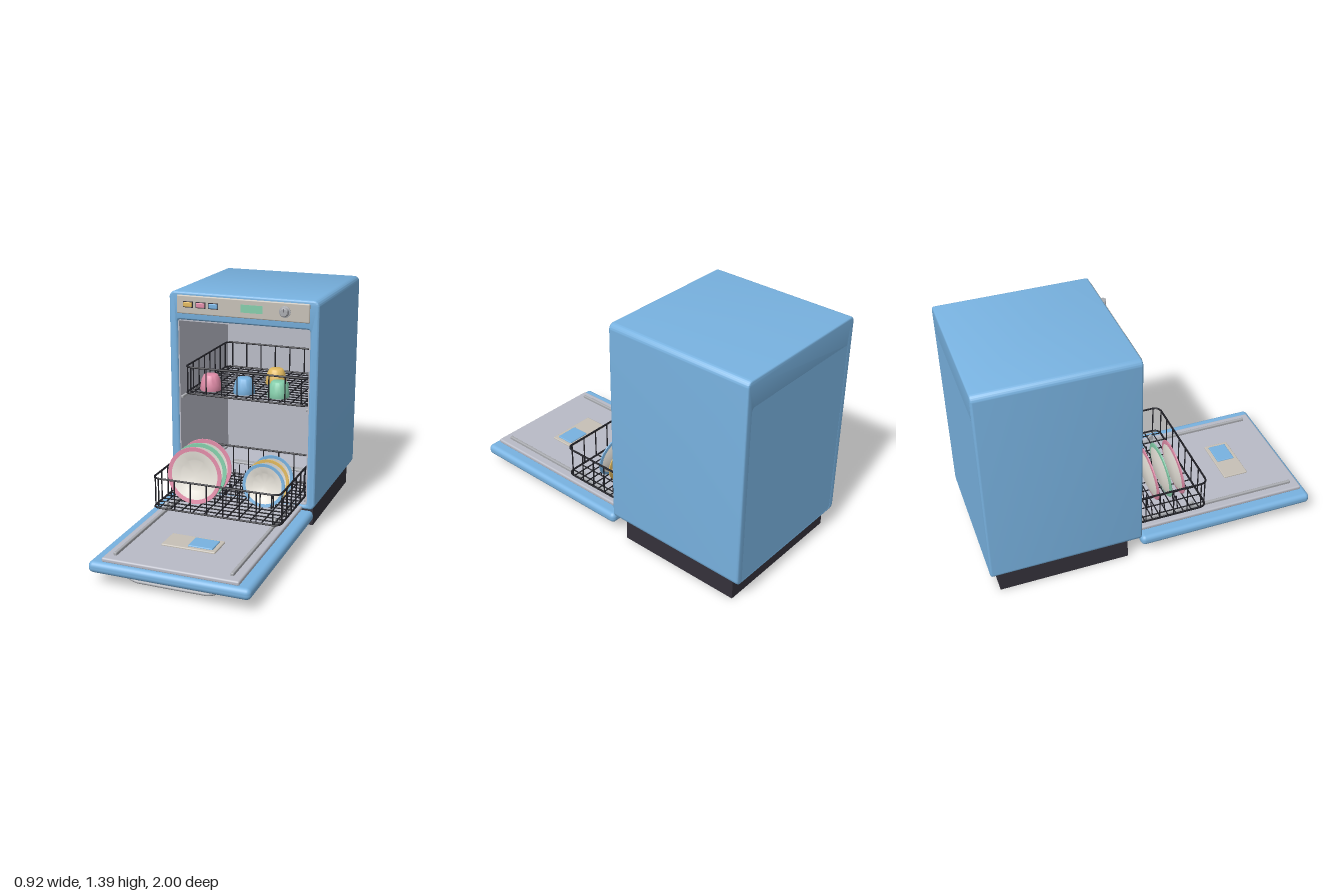
import * as THREE from 'three';
import { mergeGeometries, toCreasedNormals } from 'three/addons/utils/BufferGeometryUtils.js';
import { RoundedBoxGeometry } from 'three/addons/geometries/RoundedBoxGeometry.js';

const mat = (name, color) => {
  const m = new THREE.MeshStandardMaterial({ color });
  m.name = name;
  return m;
};
const V = (x, y, z) => new THREE.Vector3(x, y, z);

export function createModel() {
  const blue = mat('enamel blue', 0x78b2e0);
  const grey = mat('tub grey', 0xb9bbc6);
  const dark = mat('plinth charcoal', 0x34313a);
  const panel = mat('panel beige', 0xc6c0b6);
  const steel = mat('steel', 0xa9abb0);
  const black = mat('wire black', 0x1f1f25);
  const cream = mat('china cream', 0xe9e5dc);
  const pink = mat('pink', 0xe08ca8);
  const green = mat('green', 0x84cdaa);
  const yellow = mat('yellow', 0xe2ba60);

  const model = new THREE.Group();
  model.name = 'dishwasher';

  const add = (name, geo, material, x = 0, y = 0, z = 0, parent = model) => {
    const m = new THREE.Mesh(geo, material);
    m.name = name;
    m.position.set(x, y, z);
    parent.add(m);
    return m;
  };
  // Box given by its minimum and maximum corners
  const box = (name, material, x0, x1, y0, y1, z0, z1, r = 0) => {
    const s = [x1 - x0, y1 - y0, z1 - z0];
    const g = r ? new RoundedBoxGeometry(...s, 3, r) : new THREE.BoxGeometry(...s);
    return add(name, g, material, (x0 + x1) / 2, (y0 + y1) / 2, (z0 + z1) / 2);
  };
  const roundRect = (P, x0, x1, y0, y1, r) => {
    const p = new P();
    p.moveTo(x0 + r, y0);
    p.lineTo(x1 - r, y0); p.absarc(x1 - r, y0 + r, r, -Math.PI / 2, 0);
    p.lineTo(x1, y1 - r); p.absarc(x1 - r, y1 - r, r, 0, Math.PI / 2);
    p.lineTo(x0 + r, y1); p.absarc(x0 + r, y1 - r, r, Math.PI / 2, Math.PI);
    p.lineTo(x0, y0 + r); p.absarc(x0 + r, y0 + r, r, Math.PI, Math.PI * 1.5);
    return p;
  };
  const rod = (a, b, r) => {
    const d = b.clone().sub(a);
    const g = new THREE.CylinderGeometry(r, r, d.length(), 6);
    g.applyQuaternion(new THREE.Quaternion().setFromUnitVectors(V(0, 1, 0), d.normalize()));
    const c = a.clone().add(b).multiplyScalar(0.5);
    return g.translate(c.x, c.y, c.z);
  };
  const lathe = (pts, n = 36) => toCreasedNormals(
    new THREE.LatheGeometry(pts.map(p => new THREE.Vector2(...p)), n), 0.6);

  // Cabinet: hollow rounded shell, closed at the back
  const bev = 0.012;
  const shell = roundRect(THREE.Shape, -0.46, 0.46, 0.13, 1.39, 0.035);
  shell.holes.push(roundRect(THREE.Path, -0.41, 0.41, 0.155, 1.222, 0.015));
  const shellGeo = new THREE.ExtrudeGeometry(shell, {
    depth: 0.9 - 2 * bev, bevelThickness: bev, bevelSize: bev, bevelOffset: -bev,
    bevelSegments: 4, curveSegments: 8,
  });
  add('cabinet', toCreasedNormals(shellGeo, 0.6), blue, 0, 0, -1 + bev);
  box('cabinetBack', blue, -0.422, 0.422, 0.143, 1.234, -0.9995, -0.97);
  box('plinth', dark, -0.43, 0.43, 0, 0.135, -0.95, -0.18);

  // Tub lining
  box('tubBack', grey, -0.41, 0.41, 0.15, 1.222, -0.91, -0.9);
  box('tubFloor', grey, -0.41, 0.41, 0.15, 0.16, -0.9, -0.112);
  box('tubCeiling', grey, -0.41, 0.41, 1.214, 1.224, -0.9, -0.112);
  for (const s of [-1, 1]) {
    box('tubWall', grey, s * 0.408 - 0.005, s * 0.408 + 0.005, 0.155, 1.222, -0.9, -0.112);
    for (const y of [0.18, 0.74])
      box('wallRail', steel, s * 0.396 - 0.008, s * 0.396 + 0.008, y - 0.008, y + 0.008, -0.88, -0.12, 0.004);
  }

  // Spray arm
  add('sprayHub', new THREE.CylinderGeometry(0.035, 0.05, 0.04, 24), dark, 0, 0.175, -0.6);
  box('sprayArm', steel, -0.25, 0.25, 0.175, 0.19, -0.625, -0.575, 0.007);

  // Control panel
  box('controlPanel', panel, -0.408, 0.408, 1.262, 1.372, -0.105, -0.09, 0.007);
  [yellow, pink, blue].forEach((m, i) => {
    const x = -0.335 + 0.08 * i;
    box('buttonSurround', dark, x - 0.031, x + 0.031, 1.301, 1.337, -0.092, -0.088);
    box('button', m, x - 0.027, x + 0.027, 1.305, 1.333, -0.092, -0.079, 0.005);
  });
  box('display', green, -0.005, 0.128, 1.296, 1.342, -0.092, -0.087);
  const knob = add('knob', lathe([[0, 0], [0.034, 0], [0.034, 0.008], [0.027, 0.01],
    [0.025, 0.03], [0.021, 0.034], [0, 0.034]], 24), steel, 0.263, 1.319, -0.092);
  knob.rotation.x = Math.PI / 2;
  box('knobMark', dark, 0.261, 0.265, 1.322, 1.342, -0.059, -0.056);

  // Open door with its lining, rails, dispenser and handle
  box('door', blue, -0.46, 0.46, 0.07, 0.135, -0.1, 1, 0.028);
  box('doorLining', grey, -0.39, 0.39, 0.13, 0.157, -0.09, 0.97, 0.01);
  for (const s of [-1, 1])
    box('doorRail', steel, s * 0.333 - 0.009, s * 0.333 + 0.009, 0.153, 0.174, -0.07, 0.92, 0.005);
  box('dispenser', panel, -0.16, 0.155, 0.152, 0.166, 0.56, 0.715, 0.006);
  box('dispenserLid', blue, -0.013, 0.132, 0.16, 0.173, 0.58, 0.692, 0.006);
  const grip = new THREE.CatmullRomCurve3([V(-0.255, 0.08, 0.93), V(-0.25, 0.055, 0.93),
    V(-0.21, 0.036, 0.93), V(-0.15, 0.034, 0.93), V(0.15, 0.034, 0.93), V(0.21, 0.036, 0.93),
    V(0.25, 0.055, 0.93), V(0.255, 0.08, 0.93)]);
  add('handle', new THREE.TubeGeometry(grip, 48, 0.01, 10), steel);

  // Wire basket: two rims, uprights and a floor grid
  const rack = (name, y0, y1, z0, z1, extra = []) => {
    const w = 0.388, parts = [...extra];
    const outline = roundRect(THREE.Shape, -w, w, z0, z1, 0.04).getSpacedPoints(120).slice(0, -1);
    for (const [y, r] of [[y0, 0.006], [y1, 0.006]]) {
      const curve = new THREE.CatmullRomCurve3(outline.map(p => V(p.x, y, p.y)), true);
      parts.push(new THREE.TubeGeometry(curve, 140, r, 6, true));
    }
    for (let i = 0; i < 8; i++) {
      const x = -0.35 + 0.1 * i, z = z0 + 0.04 + (z1 - z0 - 0.08) * i / 7;
      for (const e of [z0, z1]) parts.push(rod(V(x, y0, e), V(x, y1, e), 0.004));
      for (const s of [-w, w]) parts.push(rod(V(s, y0, z), V(s, y1, z), 0.004));
    }
    for (let i = 0; i < 11; i++) {
      const x = -0.35 + 0.07 * i;
      parts.push(rod(V(x, y0, z0), V(x, y0, z1), 0.004));
    }
    for (let i = 1; i < 14; i++) {
      const z = z0 + (z1 - z0) * i / 14;
      parts.push(rod(V(-w, y0, z), V(w, y0, z), 0.004));
    }
    add(name, mergeGeometries(parts), black);
  };
  // Tines between the plates
  const tines = [];
  for (let row = 0; row < 6; row++)
    for (let i = 0; i < 11; i++) {
      const x = -0.35 + 0.07 * i, z = 0.165 - 0.08 * row;
      tines.push(rod(V(x, 0.195, z), V(x, 0.3, z - 0.012), 0.0035));
    }
  rack('upperRack', 0.757, 0.922, -0.85, -0.15);
  rack('lowerRack', 0.198, 0.38, -0.35, 0.335, tines);
  for (const s of [-1, 1]) for (const z of [0.26, -0.27]) {
    const wheel = add('rackWheel', new THREE.CylinderGeometry(0.018, 0.018, 0.016, 20), steel, s * 0.335, 0.19, z);
    wheel.rotation.z = Math.PI / 2;
  }

  // Plates leaning back in the lower rack
  const plate = (x, y, z, R, rim) => {
    const g = new THREE.Group();
    g.name = 'plate';
    g.position.set(x, y, z);
    g.rotation.x = Math.PI / 2 - 0.13;
    add('plateDish', lathe([[0, -0.01], [R * 0.52, -0.01], [R * 0.85, 0.006], [R * 0.85, 0.013],
      [R * 0.56, 0], [R * 0.52, -0.003], [0, -0.003]], 40), cream, 0, 0, 0, g);
    add('plateRim', lathe([[R * 0.85, 0.006], [R * 0.99, 0.01], [R, 0.013], [R * 0.99, 0.016],
      [R * 0.85, 0.013]], 40), rim, 0, 0, 0, g);
    model.add(g);
  };
  [pink, green, pink].forEach((m, i) => plate(-0.18, 0.372, 0.19 - 0.08 * i, 0.17, m));
  [blue, yellow, blue].forEach((m, i) => plate(0.215, 0.333, 0.1 - 0.077 * i, 0.13, m));

  // Upturned cups in the upper rack
  const cupGeo = lathe([[0, 0.088], [0.036, 0.088], [0.053, 0.055], [0.061, 0.002], [0.066, 0], [0.067, 0.004],
    [0.063, 0.035], [0.056, 0.068], [0.044, 0.092], [0.038, 0.096], [0, 0.096]]);
  const handleGeo = new THREE.TorusGeometry(0.024, 0.006, 8, 16);
  for (const [x, z, m, turn] of [[-0.268, -0.27, pink, 2.3], [-0.05, -0.27, blue, 1.9],
    [0.17, -0.27, green, 1.2], [0.063, -0.54, yellow, 1.6]]) {
    const cup = new THREE.Group();
    cup.name = 'cup';
    cup.position.set(x, 0.762, z);
    cup.rotation.y = turn;
    add('cupBowl', cupGeo, m, 0, 0, 0, cup);
    add('cupHandle', handleGeo, m, 0.064, 0.05, 0, cup);
    model.add(cup);
  }
  return model;
}
